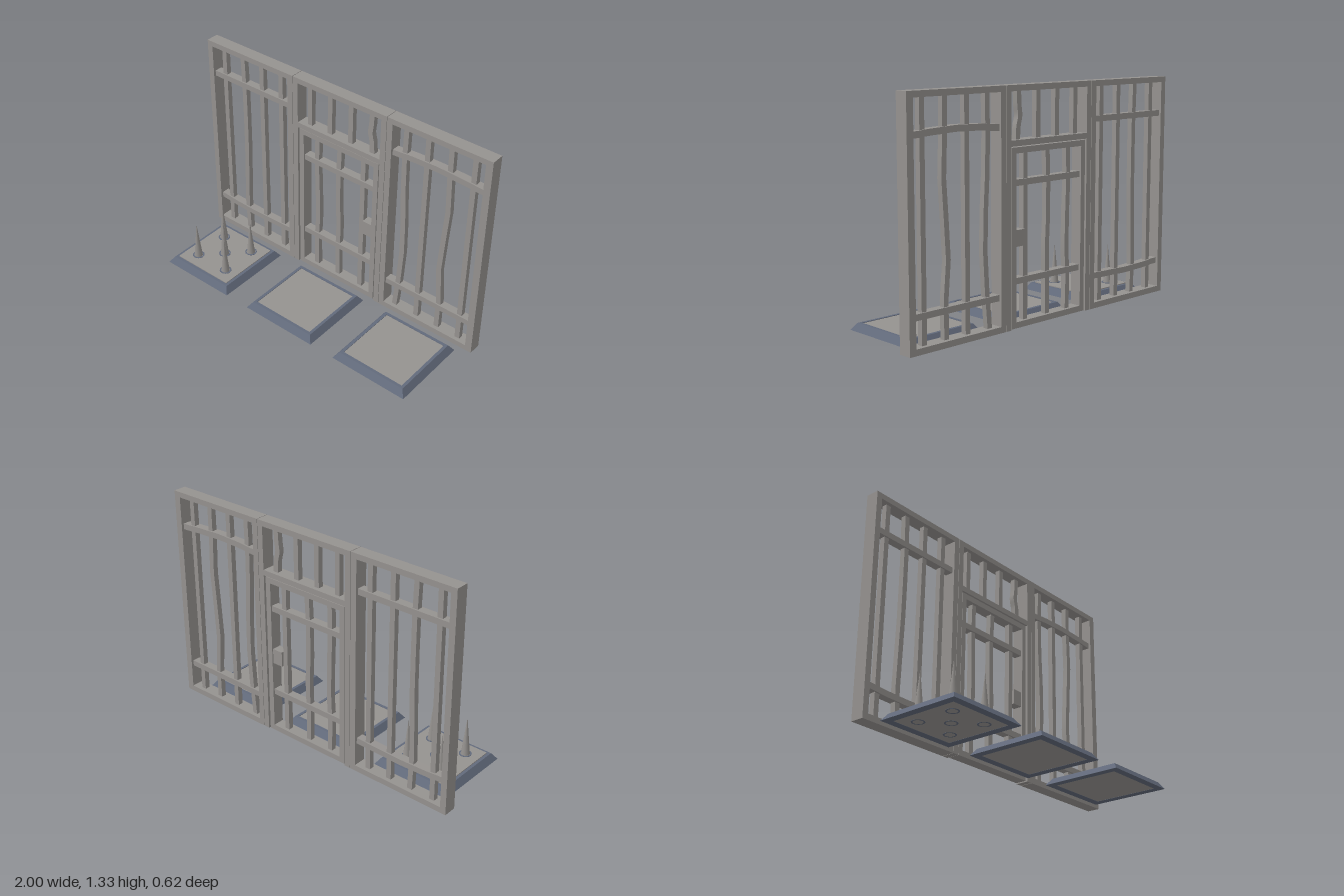
import * as THREE from 'three';

const grey = new THREE.MeshStandardMaterial({ color: 0x95928f });
grey.name = 'worn iron grey';
const blue = new THREE.MeshStandardMaterial({ color: 0x626a7b });
blue.name = 'dark blue steel';

const WALL_Z = -0.27, DEPTH = 0.08, TOP = 1.33, BAR = 0.032;

function add(parent, name, geometry, material, x = 0, y = 0, z = 0) {
  const mesh = new THREE.Mesh(geometry, material);
  mesh.name = name;
  mesh.position.set(x, y, z);
  parent.add(mesh);
}

function group(parent, name, x = 0, y = 0, z = 0) {
  const g = new THREE.Group();
  g.name = name;
  g.position.set(x, y, z);
  parent.add(g);
  return g;
}

// Box given by its extents in x and y, centred on z = 0
function slab(parent, name, x0, x1, y0, y1, depth) {
  add(parent, name, new THREE.BoxGeometry(x1 - x0, y1 - y0, depth), grey, (x0 + x1) / 2, (y0 + y1) / 2);
}

// Rectangular frame with one opening
function frame(parent, name, x0, x1, y0, y1, hole, depth) {
  const rect = (a, b, c, d) => [[a, c], [b, c], [b, d], [a, d]].map(([x, y]) => new THREE.Vector2(x, y));
  const shape = new THREE.Shape(rect(x0, x1, y0, y1));
  shape.holes.push(new THREE.Path(rect(...hole)));
  const geometry = new THREE.ExtrudeGeometry(shape, { depth, bevelEnabled: false });
  add(parent, name, geometry.translate(0, 0, -depth / 2), grey);
}

// Smooth sideways offset at t (0..1) through evenly spaced values
function sway(bend, t) {
  const s = THREE.MathUtils.clamp(t, 0, 1) * (bend.length - 1);
  const i = Math.min(Math.floor(s), bend.length - 2);
  return THREE.MathUtils.lerp(bend[i], bend[i + 1], THREE.MathUtils.smoothstep(s - i, 0, 1));
}

// Upright bar; bend lists sideways offsets from bottom to top
function upright(parent, x, y0, y1, bend) {
  const h = y1 - y0;
  const geometry = new THREE.BoxGeometry(BAR, h, BAR, 1, bend ? 12 : 1, 1);
  if (bend) {
    const p = geometry.attributes.position;
    for (let i = 0; i < p.count; i++) p.setX(i, p.getX(i) + sway(bend, p.getY(i) / h + 0.5));
    geometry.computeVertexNormals();
  }
  add(parent, bend ? 'bentUprightBar' : 'uprightBar', geometry, grey, x, (y0 + y1) / 2);
}

// Cross bar; bend lists vertical offsets from one end to the other
function crossBar(parent, x0, x1, y, bend) {
  const w = x1 - x0;
  const geometry = new THREE.BoxGeometry(w, 0.035, 0.05, bend ? 12 : 1, 1, 1);
  if (bend) {
    const p = geometry.attributes.position;
    for (let i = 0; i < p.count; i++) p.setY(i, p.getY(i) + sway(bend, p.getX(i) / w + 0.5));
    geometry.computeVertexNormals();
  }
  add(parent, bend ? 'bentCrossBar' : 'crossBar', geometry, grey, (x0 + x1) / 2, y);
}

// Closed ring turned from a profile of [radius, height] points, with flat faces
function turnedRing(profile, sides, start = 0) {
  const points = profile.map(([r, y]) => new THREE.Vector2(r, y));
  const geometry = new THREE.LatheGeometry(points, sides, start).toNonIndexed();
  geometry.computeVertexNormals();
  return geometry;
}

// Bevelled square rim around a floor plate, with spikes if wanted
function floorTrap(parent, x, spiked) {
  const trap = group(parent, spiked ? 'spikeTrap' : 'floorPlate', x, 0, 0.06);
  // Half widths times root two give the corner radii of a four-sided ring
  const rim = [[0.204, 0], [0.25, 0], [0.222, 0.04], [0.204, 0.04], [0.204, 0]];
  add(trap, 'rim', turnedRing(rim.map(([r, y]) => [r * Math.SQRT2, y]), 4, Math.PI / 4), blue);
  const top = spiked ? 0.045 : 0.037;
  add(trap, 'plate', new THREE.BoxGeometry(0.408, top - 0.001, 0.408), grey, 0, (top + 0.001) / 2, 0);
  if (!spiked) return;
  const d = 0.117;
  const collar = [[0.028, 0], [0.037, 0], [0.037, 0.047], [0.028, 0.047]];
  [[0, 0], [-d, -d], [d, -d], [-d, d], [d, d]].forEach(([sx, sz], i) => {
    add(trap, 'spikeCollar', turnedRing(collar, 16), blue, sx, 0, sz);
    const height = i === 0 ? 0.25 : 0.243;
    add(trap, 'spike', new THREE.ConeGeometry(0.026, height, 12), grey, sx, 0.044 + height / 2, sz);
  });
}

export function createModel() {
  const model = new THREE.Group();
  model.name = 'cellBarsAndTraps';
  const wall = group(model, 'barWall', 0, 0, WALL_Z);

  // Right-hand panel (-x)
  const right = group(wall, 'rightPanel');
  frame(right, 'panelFrame', -1, -0.336, 0, TOP, [-0.963, -0.374, 0.035, 1.297], DEPTH);
  for (const x of [-0.89, -0.595, -0.447]) upright(right, x, 0.03, 1.3);
  upright(right, -0.74, 0.03, 1.3, [0, -0.008, -0.002, 0.004, 0.005, 0.004, -0.003]);
  crossBar(right, -0.963, -0.374, 1.11);
  crossBar(right, -0.963, -0.374, 0.188, [0.01, 0, -0.004, 0, 0.004]);

  // Left-hand panel (+x)
  const left = group(wall, 'leftPanel');
  frame(left, 'panelFrame', 0.334, 1, 0, TOP, [0.37, 0.958, 0.035, 1.297], DEPTH);
  for (const x of [0.59, 0.885]) upright(left, x, 0.03, 1.3);
  upright(left, 0.448, 0.03, 1.3, [-0.015, 0.004, 0.016, 0.012, 0, -0.004, 0]);
  upright(left, 0.737, 0.03, 1.3, [0, 0.002, -0.016, -0.004, 0.01, 0.002, 0]);
  crossBar(left, 0.37, 0.958, 1.115, [-0.004, 0.008, 0.012, 0.006, -0.003]);
  crossBar(left, 0.37, 0.958, 0.193);

  // Doorway: posts, head rail, lintel and short bars
  const doorway = group(wall, 'doorway');
  slab(doorway, 'doorPost', -0.333, -0.297, 0, TOP, DEPTH);
  slab(doorway, 'doorPost', 0.295, 0.331, 0, TOP, DEPTH);
  slab(doorway, 'headRail', -0.297, 0.295, 1.297, TOP, DEPTH);
  slab(doorway, 'lintel', -0.297, 0.295, 1.004, 1.037, DEPTH);
  for (const x of [-0.225, -0.078, 0.07]) upright(doorway, x, 1.03, 1.3);
  upright(doorway, 0.213, 1.03, 1.3, [0.012, 0.008, -0.006, 0.001, 0.004]);

  // Door
  const door = group(wall, 'door');
  frame(door, 'doorFrame', -0.289, 0.286, 0.003, 0.998, [-0.257, 0.253, 0.037, 0.965], 0.07);
  upright(door, -0.169, 0.03, 0.97, [0.002, -0.002, 0.007, 0.004, -0.003, 0]);
  upright(door, -0.008, 0.03, 0.97, [0.003, 0.001, 0.006, -0.002, -0.003, 0.004]);
  upright(door, 0.167, 0.03, 0.97);
  crossBar(door, -0.257, 0.253, 0.805);
  crossBar(door, -0.257, 0.253, 0.264);
  slab(door, 'lockBox', 0.185, 0.255, 0.455, 0.547, 0.055);

  // Floor plates
  floorTrap(model, -0.667, true);
  floorTrap(model, 0, false);
  floorTrap(model, 0.665, false);
  return model;
}
